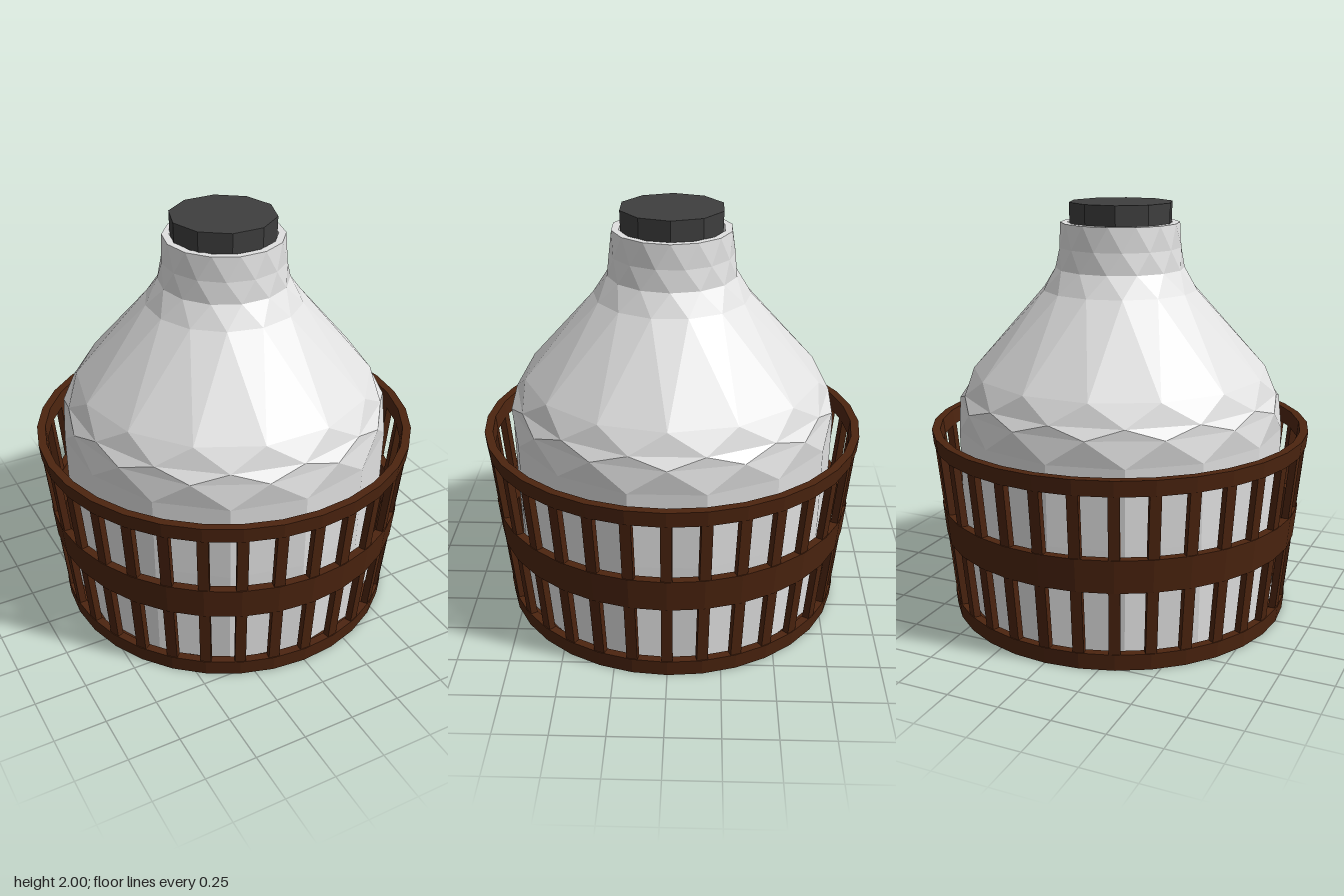
import * as THREE from 'three';

const wood = new THREE.MeshStandardMaterial({ color: 0x4c240f });
wood.name = 'brownWood';
const glass = new THREE.MeshStandardMaterial({ color: 0xe0e0e0 });
glass.name = 'paleGlass';
const stopper = new THREE.MeshStandardMaterial({ color: 0x3e3e3e });
stopper.name = 'darkStopper';

const STAVES = 32;
const WALL = 0.04;
const BOTTLE_SIDES = 14;

// Outer radius of the tapering basket at height y
const basketRadius = (y) => 0.833 + 0.0995 * y;

// Faceted normals
function faceted(geometry) {
  const flat = geometry.index ? geometry.toNonIndexed() : geometry;
  flat.computeVertexNormals();
  return flat;
}

function addPart(parent, name, geometry, material) {
  const mesh = new THREE.Mesh(faceted(geometry), material);
  mesh.name = name;
  parent.add(mesh);
  return mesh;
}

function lathe(points, sides) {
  return new THREE.LatheGeometry(points.map(([r, y]) => new THREE.Vector2(r, y)), sides);
}

// Closed hoop between two heights
function hoop(y0, y1) {
  const a = basketRadius(y0), b = basketRadius(y1);
  return lathe([[a - WALL, y0], [a, y0], [b, y1], [b - WALL, y1], [a - WALL, y0]], STAVES);
}

// Lathe whose rings are turned by half steps to give triangular facets
function facetedBottle() {
  // radius, height, turn in half steps
  const rings = [
    [0, 0.04, 0], [0.775, 0.04, 0], [0.79, 0.55, 0], [0.795, 0.93, 0],
    [0.788, 1.05, 1], [0.765, 1.1, 2], [0.715, 1.2, 3], [0.375, 1.59, 4],
    [0.31, 1.69, 5], [0.295, 1.79, 6], [0.285, 1.905, 7],
    [0.25, 1.905, 7], [0.24, 1.75, 7], [0, 1.75, 7],
  ];
  const geometry = lathe(rings, BOTTLE_SIDES);
  const pos = geometry.attributes.position;
  const v = new THREE.Vector3();
  const up = new THREE.Vector3(0, 1, 0);
  for (let i = 0; i < pos.count; i++) {
    const turn = rings[i % rings.length][2] * Math.PI / BOTTLE_SIDES;
    v.fromBufferAttribute(pos, i).applyAxisAngle(up, turn);
    pos.setXYZ(i, v.x, v.y, v.z);
  }
  return geometry;
}

export function createModel() {
  const model = new THREE.Group();
  model.name = 'basketBottle';

  // Basket
  const basket = new THREE.Group();
  basket.name = 'basket';
  model.add(basket);
  const r0 = basketRadius(0), r1 = basketRadius(0.08);
  addPart(basket, 'basketBase',
    lathe([[0, 0], [r0, 0], [r1, 0.08], [r1 - WALL, 0.08], [r0 - WALL, 0.035], [0, 0.035]], STAVES), wood);
  addPart(basket, 'middleHoop', hoop(0.39, 0.55), wood);
  addPart(basket, 'topHoop', hoop(0.85, 0.925), wood);

  // Upright slats leaning outward with the basket wall
  const low = 0.06, high = 0.87;
  const slat = new THREE.BoxGeometry(0.052, high - low, 0.034);
  slat.translate(0, (low + high) / 2, 0);
  const p = slat.attributes.position;
  for (let i = 0; i < p.count; i++) {
    p.setZ(i, p.getZ(i) + basketRadius(p.getY(i)) - 0.022);
  }
  for (let i = 0; i < STAVES; i++) {
    addPart(basket, 'slat', slat, wood).rotation.y = (i / STAVES) * Math.PI * 2;
  }

  // Bottle and stopper
  addPart(model, 'bottle', facetedBottle(), glass);
  const cap = addPart(model, 'stopper', new THREE.CylinderGeometry(0.25, 0.245, 0.22, 10), stopper);
  cap.position.set(-0.005, 1.89, 0);
  cap.rotation.y = Math.PI / 10;

  return model;
}
